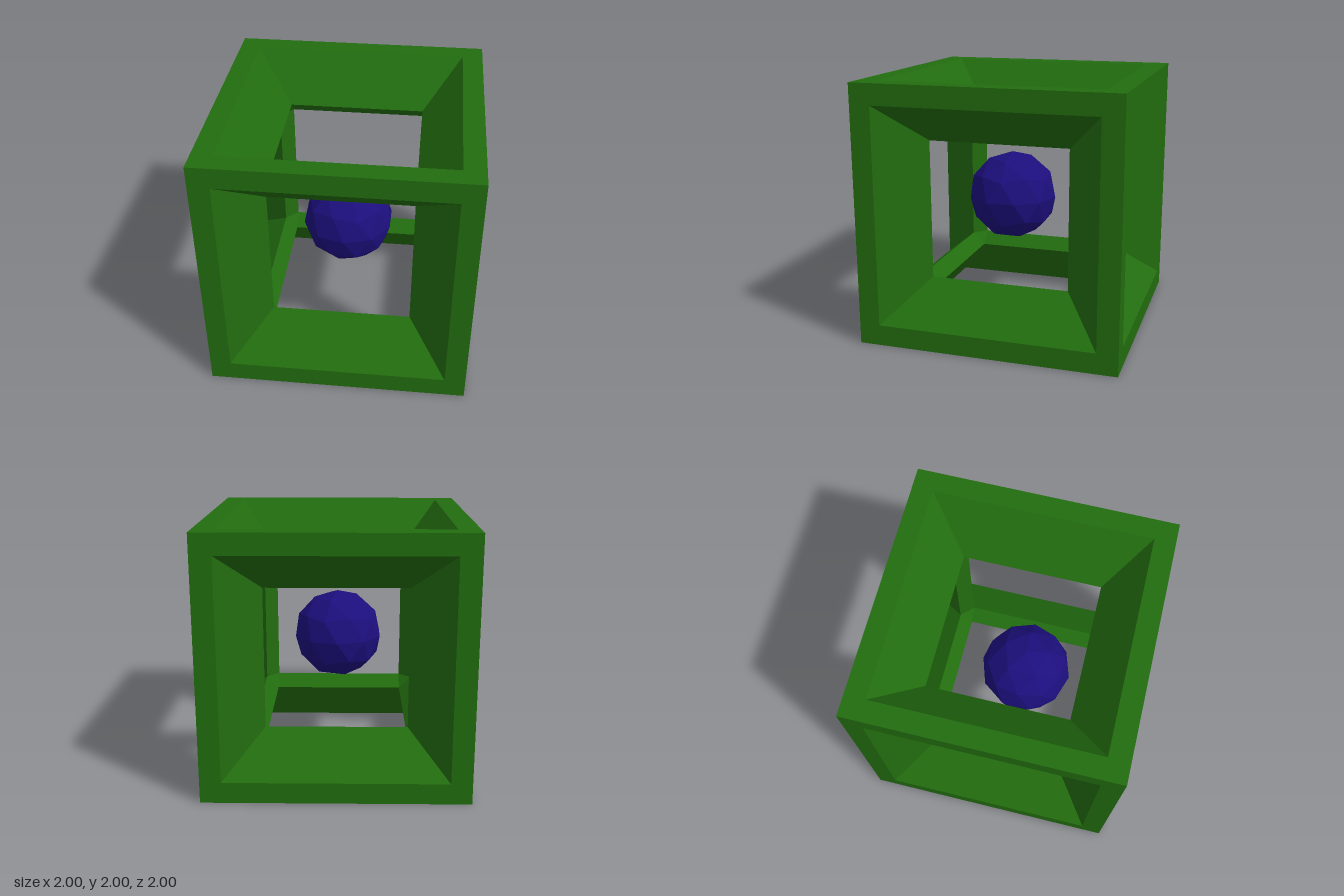
import * as THREE from 'three';

const OUTER = 1, RIM = 0.84, OPENING = 0.54, DEPTH = 0.64;

// Point with coordinates a, b, c along axes k, k+1, k+2 (cyclic)
function onAxes(k, a, b, c) {
  const p = [0, 0, 0];
  p[k] = a;
  p[(k + 1) % 3] = b;
  p[(k + 2) % 3] = c;
  return new THREE.Vector3(...p);
}

function frameGeometry() {
  const positions = [];
  const tri = (...pts) => pts.forEach((p) => positions.push(p.x, p.y, p.z));
  const quad = (a, b, c, d) => { tri(a, b, c); tri(a, c, d); };
  // True when the corners wind so that the face looks at the centre
  const facesCentre = (a, b, c) =>
    b.clone().sub(a).cross(c.clone().sub(a)).dot(a) < 0;

  const corners = [[1, 1], [-1, 1], [-1, -1], [1, -1]];
  const rings = [[OUTER, OUTER], [RIM, OUTER], [OPENING, DEPTH]]; // half-width, distance out
  for (let k = 0; k < 3; k++) {
    // Flat rim and sloped reveal on both sides of each axis
    for (const s of [1, -1]) {
      const at = (r, i) => {
        const [w, h] = rings[r], [u, v] = corners[i % 4];
        return onAxes(k, s * h, s * u * w, v * w);
      };
      for (let r = 0; r < 2; r++)
        for (let i = 0; i < 4; i++)
          quad(at(r, i), at(r, i + 1), at(r + 1, i + 1), at(r + 1, i));
    }
    // Narrow inner chamfers on the four beams along this axis
    for (const [u, v] of corners) {
      const q = [
        onAxes(k, OPENING, u * OPENING, v * DEPTH),
        onAxes(k, -OPENING, u * OPENING, v * DEPTH),
        onAxes(k, -OPENING, u * DEPTH, v * OPENING),
        onAxes(k, OPENING, u * DEPTH, v * OPENING),
      ];
      quad(...(facesCentre(...q) ? q : q.reverse()));
    }
  }
  // Small triangles closing the eight inner corners
  for (const s of [1, -1])
    for (const [u, v] of corners) {
      const t = [
        new THREE.Vector3(s * DEPTH, u * OPENING, v * OPENING),
        new THREE.Vector3(s * OPENING, u * DEPTH, v * OPENING),
        new THREE.Vector3(s * OPENING, u * OPENING, v * DEPTH),
      ];
      tri(...(facesCentre(...t) ? t : t.reverse()));
    }

  const geometry = new THREE.BufferGeometry();
  geometry.setAttribute('position', new THREE.Float32BufferAttribute(positions, 3));
  geometry.computeVertexNormals();
  return geometry;
}

export function createModel() {
  const model = new THREE.Group();
  model.name = 'cubeFrameWithOrb';

  // Open cube frame
  const frame = new THREE.Mesh(
    frameGeometry(),
    new THREE.MeshStandardMaterial({ color: 0x226d0f, flatShading: true })
  );
  frame.name = 'cubeFrame';
  frame.position.y = 1;
  model.add(frame);

  // Faceted orb floating inside, one vertex pointing straight up
  const orbGeometry = new THREE.IcosahedronGeometry(0.358, 1);
  orbGeometry.rotateZ(-Math.atan(2 / (1 + Math.sqrt(5))));
  const orb = new THREE.Mesh(
    orbGeometry,
    new THREE.MeshStandardMaterial({ color: 0x1c0f7d, flatShading: true })
  );
  orb.name = 'orb';
  orb.position.set(0, 1, 0.09);
  model.add(orb);

  return model;
}
